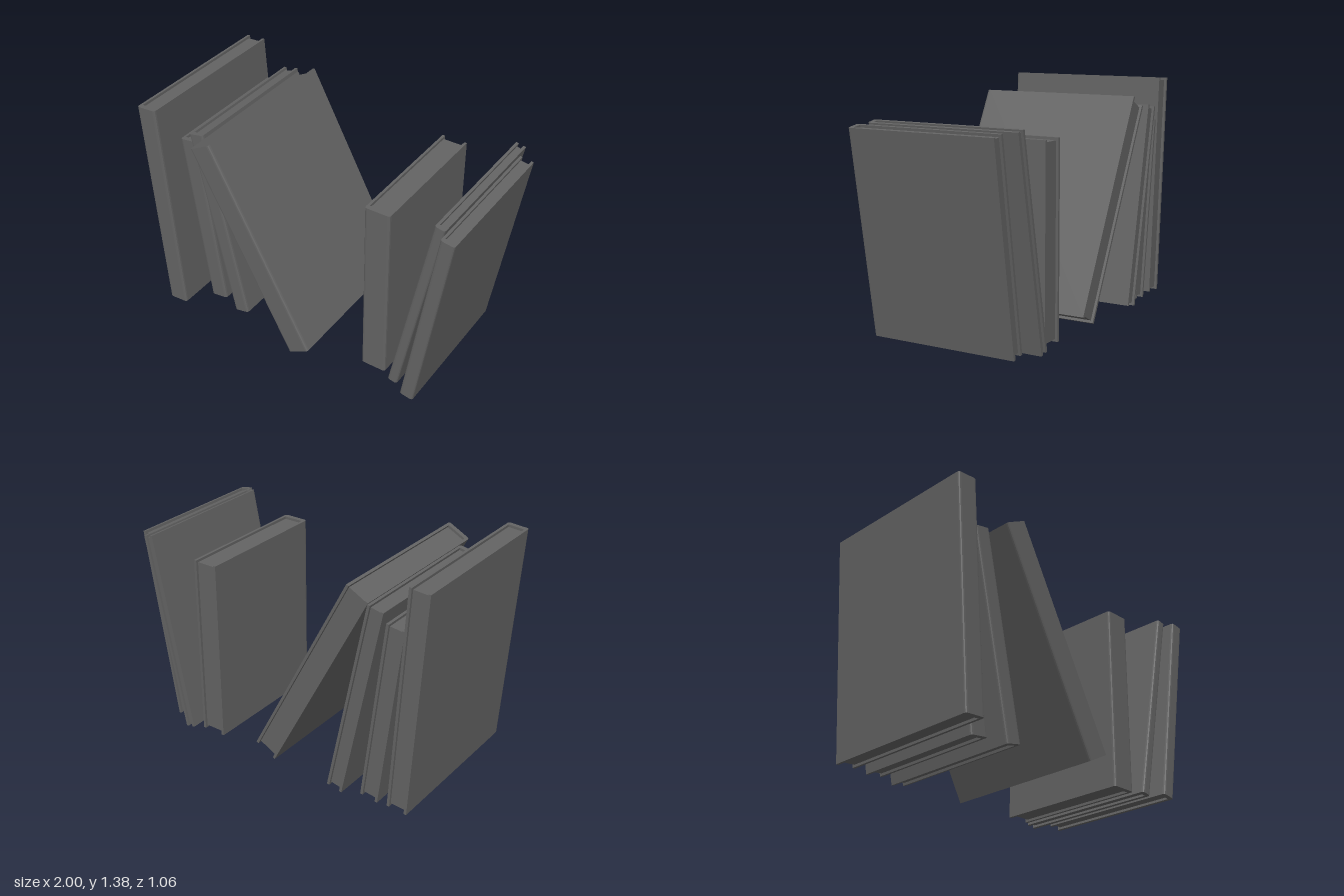
import * as THREE from 'three';

const material = new THREE.MeshStandardMaterial({ color: 0x636363 });

const BOARD = 0.016;  // cover board thickness
const SPINE = 0.03;   // spine thickness
const INSET = 0.015;  // how far the pages sit back from the cover edges
const ROUND = 0.016;  // softened spine corners

// One closed book: wrap-around cover with spine towards +z, and a page block.
// Its origin is the centre of the bottom edge.
function makeBook(width, height, zBack, zFront) {
  const book = new THREE.Group();
  const w = width / 2;
  const wi = w - BOARD;
  // Plan of the cover, with shape y = -z
  const back = -zBack, front = -zFront;
  const plan = new THREE.Shape();
  plan.moveTo(-w, back);
  plan.lineTo(-w, front + ROUND);
  plan.quadraticCurveTo(-w, front, -w + ROUND, front);
  plan.lineTo(w - ROUND, front);
  plan.quadraticCurveTo(w, front, w, front + ROUND);
  plan.lineTo(w, back);
  plan.lineTo(wi, back);
  plan.lineTo(wi, front + SPINE);
  plan.lineTo(-wi, front + SPINE);
  plan.lineTo(-wi, back);
  plan.closePath();
  const coverGeometry = new THREE.ExtrudeGeometry(plan, {
    depth: height, bevelEnabled: false, curveSegments: 3,
  });
  coverGeometry.rotateX(-Math.PI / 2);
  const cover = new THREE.Mesh(coverGeometry, material);
  cover.name = 'cover';

  const zA = zBack + INSET, zB = zFront - SPINE;
  const pages = new THREE.Mesh(
    new THREE.BoxGeometry(wi * 2, height - 2 * INSET, zB - zA), material);
  pages.position.set(0, height / 2, (zA + zB) / 2);
  pages.name = 'pages';

  book.add(cover, pages);
  return book;
}

// Bottom centre x, y, lean (radians), width, height, back z, front z
const BOOKS = [
  [-0.849, 0.017, 0.066, 0.127, 1.361, -0.50, 0.529],
  [-0.659, 0.010, 0.125, 0.114, 1.123, -0.49, 0.359],
  [-0.451, 0.013, 0.2045, 0.101, 1.231, -0.53, 0.400],
  [0.068, 0.043, 0.484, 0.152, 1.367, -0.50, 0.529],
  [0.484, 0.010, 0, 0.158, 1.125, -0.49, 0.359],
  [0.638, 0.009, -0.1963, 0.062, 1.232, -0.53, 0.400],
  [0.767, 0.009, -0.159, 0.085, 1.202, -0.445, 0.462],
];

export function createModel() {
  const model = new THREE.Group();
  model.name = 'leaningBooks';
  BOOKS.forEach(([x, y, lean, width, height, zBack, zFront], i) => {
    const book = makeBook(width, height, zBack, zFront);
    book.name = `book${i + 1}`;
    book.position.set(x, y, 0);
    book.rotation.z = lean;
    model.add(book);
  });
  return model;
}
